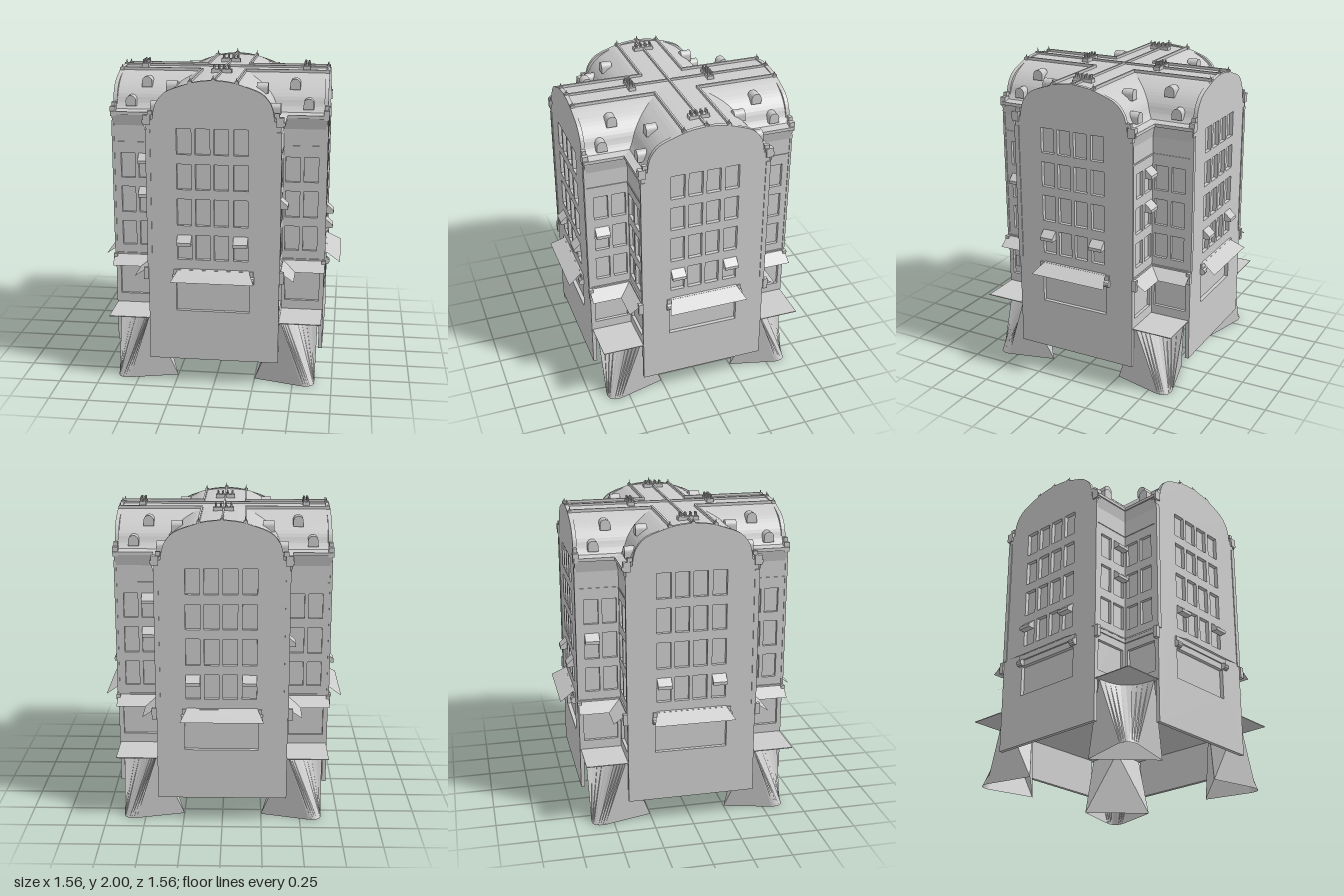
import * as THREE from 'three';

const grey = new THREE.MeshStandardMaterial({ color: 0xcccccc, flatShading: true });
const thin = new THREE.MeshStandardMaterial({ color: 0xcccccc, flatShading: true, side: THREE.DoubleSide });
const V2 = (x, y) => new THREE.Vector2(x, y);

function add(parent, name, geometry, material = grey) {
  const mesh = new THREE.Mesh(geometry, material);
  mesh.name = name;
  parent.add(mesh);
  return mesh;
}

// Box given by its minimum and maximum corners
function box(parent, name, x0, x1, y0, y1, z0, z1) {
  const mesh = add(parent, name, new THREE.BoxGeometry(x1 - x0, y1 - y0, z1 - z0));
  mesh.position.set((x0 + x1) / 2, (y0 + y1) / 2, (z0 + z1) / 2);
  return mesh;
}

// Thin surface made of quads or triangles, each a list of corners
function sheet(parent, name, faces) {
  const pos = [];
  for (const f of faces)
    for (let i = 1; i < f.length - 1; i++) pos.push(...f[0], ...f[i], ...f[i + 1]);
  const g = new THREE.BufferGeometry();
  g.setAttribute('position', new THREE.Float32BufferAttribute(pos, 3));
  g.computeVertexNormals();
  return add(parent, name, g, thin);
}

// Wall outline with rectangular openings [x0, x1, y0, y1]
function wall(points, openings, depth) {
  const shape = new THREE.Shape(points);
  for (const [a, b, c, d] of openings)
    shape.holes.push(new THREE.Path([V2(a, c), V2(a, d), V2(b, d), V2(b, c)]));
  return new THREE.ExtrudeGeometry(shape, { depth, bevelEnabled: false });
}

// Mirrors a half profile, listed from the eave up to the ridge
function symmetric(half) {
  const left = half.slice(0, -1).reverse().map((p) => V2(-p.x, p.y));
  return [...half, ...left];
}

// Small sloped hood over a window, facing the given angle
function canopy(parent, x, y, z, angle, width = 0.09) {
  const depth = 0.045;
  const shape = new THREE.Shape([V2(0, 0), V2(depth, 0), V2(depth, 0.02), V2(0, 0.06)]);
  const g = new THREE.ExtrudeGeometry(shape, { depth: width, bevelEnabled: false });
  g.translate(0, 0, -width / 2).rotateY(-Math.PI / 2);
  const mesh = add(parent, 'windowCanopy', g);
  mesh.position.set(x, y, z);
  mesh.rotation.y = angle;
}

// Round-topped dormer facing sideways out of the roof
function dormer(parent, s, x, y, z) {
  const shape = new THREE.Shape();
  shape.moveTo(-0.032, 0);
  shape.lineTo(0.032, 0);
  shape.lineTo(0.032, 0.035);
  shape.absarc(0, 0.035, 0.032, 0, Math.PI, false);
  const g = new THREE.ExtrudeGeometry(shape, { depth: 0.07, bevelEnabled: false, curveSegments: 8 });
  const mesh = add(parent, 'dormer', g);
  mesh.position.set(s * (x - 0.045), y, z);
  mesh.rotation.y = s * Math.PI / 2;
}

const curve = (pts) => new THREE.SplineCurve(pts).getPoints(18);
const roofHalf = [V2(0.425, 1.70), V2(0.425, 1.72),
  ...curve([V2(0.385, 1.73), V2(0.36, 1.765), V2(0.335, 1.82), V2(0.285, 1.875), V2(0.22, 1.915), V2(0.14, 1.945), V2(0, 1.955)])];
const gableHalf = [V2(0.41, 0.17), V2(0.41, 1.71), V2(0.37, 1.725),
  ...curve([V2(0.365, 1.77), V2(0.345, 1.83), V2(0.29, 1.89), V2(0.19, 1.93), V2(0.1, 1.955), V2(0, 1.965)])];

const rows = [[0.84, 1.0], [1.06, 1.23], [1.29, 1.45], [1.51, 1.67]];
const columns = [[-0.225, -0.135], [-0.11, -0.02], [0.005, 0.095], [0.125, 0.215]];

// One arm of the cross, pointing to +z
function createArm(chimneyZ, chimneyTurn) {
  const arm = new THREE.Group();
  arm.name = 'wing';
  box(arm, 'core', -0.39, 0.39, 0.44, 1.72, 0, 0.655);
  add(arm, 'roof', wall(symmetric(roofHalf), [], 0.67));

  // End facade with windows and a shop window
  const openings = rows.flatMap(([c, d]) => columns.map(([a, b]) => [a, b, c, d]));
  openings.push([-0.235, 0.225, 0.5, 0.7]);
  add(arm, 'endWall', wall(symmetric(gableHalf), openings, 0.025)).position.z = 0.655;
  sheet(arm, 'shopAwning', [[[-0.22, 0.78, 0.68], [-0.26, 0.72, 0.78], [0.26, 0.72, 0.78], [0.22, 0.78, 0.68]]]);
  box(arm, 'awningRail', -0.25, 0.25, 0.74, 0.775, 0.675, 0.69);
  for (const x of [-0.18, 0.17]) canopy(arm, x, 0.94, 0.68, 0);

  for (const s of [-1, 1]) {
    // Side wall with two columns of windows and a lower shop window
    const flip = (a, b, c, d) => (s > 0 ? [-b, -a, c, d] : [a, b, c, d]);
    const sideOpenings = rows.slice(0, 3).flatMap(([c, d]) => [flip(0.425, 0.515, c, d), flip(0.54, 0.63, c, d)]);
    sideOpenings.push(flip(0.43, 0.65, 0.5, 0.7));
    const [u0, u1] = flip(0.39, 0.68, 0, 0);
    const side = add(arm, 'sideWall',
      wall([V2(u0, 0.44), V2(u1, 0.44), V2(u1, 1.7), V2(u0, 1.7)], sideOpenings, 0.02));
    side.position.x = s * 0.39;
    side.rotation.y = s * Math.PI / 2;

    // Bands, soffit and cornice under the eave
    const band = (name, out, y0, y1, z1 = 0.675) =>
      box(arm, name, Math.min(s * 0.4, s * out), Math.max(s * 0.4, s * out), y0, y1, 0.4, z1);
    band('stringCourse', 0.415, 1.515, 1.525);
    band('signBand', 0.418, 0.75, 0.785);
    band('cornice', 0.435, 1.70, 1.72, 0.685);
    sheet(arm, 'soffit', [[[s * 0.41, 1.63, 0.4], [s * 0.43, 1.71, 0.4], [s * 0.43, 1.71, 0.68], [s * 0.41, 1.63, 0.68]]]);
    const post = (name, x, w, y0, y1, z0, z1) => box(arm, name, s * x - w / 2, s * x + w / 2, y0, y1, z0, z1);
    post('cornerStrip', 0.4, 0.03, 0.78, 1.66, 0.67, 0.685);
    post('eaveBlock', 0.405, 0.045, 1.69, 1.75, 0.655, 0.69);
    post('eaveScroll', 0.385, 0.03, 1.75, 1.775, 0.66, 0.685);

    // Mitred awning in the inner corner, and brackets
    sheet(arm, 'cornerAwning', [[[s * 0.41, 0.78, 0.41], [s * 0.5, 0.72, 0.5], [s * 0.5, 0.72, 0.685], [s * 0.41, 0.78, 0.685]]]);
    post('cornerBracket', 0.425, 0.03, 0.705, 0.78, 0.665, 0.69);
    const roller = add(arm, 'awningBracket', new THREE.CylinderGeometry(0.022, 0.022, 0.04, 10).rotateZ(Math.PI / 2));
    roller.position.set(s * 0.235, 0.722, 0.69);

    dormer(arm, s, 0.29, 1.86, 0.47);
    dormer(arm, s, 0.375, 1.75, 0.56);

    // Roof seam that turns into the neighbouring wing
    post('roofSeam', 0.14, 0.012, 1.94, 1.962, 0.134, 0.675);
  }
  box(arm, 'ridgeSeam', -0.006, 0.006, 1.95, 1.968, 0, 0.675);

  // Finials along the gable
  for (const [x, y] of [[-0.14, 1.945], [0, 1.96], [0.14, 1.945]]) {
    box(arm, 'finialBase', x - 0.012, x + 0.012, y - 0.01, y + 0.012, 0.652, 0.678);
    add(arm, 'finial', new THREE.ConeGeometry(0.007, 0.03, 6)).position.set(x, y + 0.024, 0.665);
  }

  // Chimney stack with two rows of pots
  const stack = new THREE.Group();
  stack.name = 'chimney';
  stack.position.z = chimneyZ;
  stack.rotation.y = chimneyTurn;
  box(stack, 'stack', -0.065, 0.065, 1.93, 1.975, -0.022, 0.022);
  for (const x of [-0.048, -0.016, 0.016, 0.048])
    for (const z of [-0.011, 0.011])
      add(stack, 'chimneyPot', new THREE.CylinderGeometry(0.006, 0.008, 0.025, 6)).position.set(x, 1.9875, z);
  arm.add(stack);
  return arm;
}

// Flared corner foot: outer skin, two wings and the inner skin
function createFoot() {
  const foot = new THREE.Group();
  foot.name = 'cornerFoot';
  const a = [0.42, 0.44, 0.65], b = [0.41, 0.44, 0.41], c = [0.65, 0.44, 0.42];
  const a0 = [0.56, 0, 0.64], b0 = [0.65, 0, 0.65], c0 = [0.64, 0, 0.56];
  const w = [0.25, 0, 0.56], v = [0.56, 0, 0.25];

  // Outer skin: hollow at the top, sweeping out to a pointed toe
  const n = 10, faces = [];
  const arc = (p, q, r, t) => p.map((_, i) => (1 - t) ** 2 * p[i] + 2 * t * (1 - t) * q[i] + t * t * r[i]);
  for (let i = 0; i < n; i++) {
    const t = i / n, u = (i + 1) / n;
    faces.push([arc(a, b, c, t), arc(a0, b0, c0, t), arc(a0, b0, c0, u), arc(a, b, c, u)]);
  }
  sheet(foot, 'outerSkin', faces);
  sheet(foot, 'sideFlaps', [[a, w, a0], [c, c0, v]]);
  sheet(foot, 'innerSkin', [[a, b, w], [b, c, v], [b, v, w]]);
  return foot;
}

export function createModel() {
  const model = new THREE.Group();
  model.name = 'crossShapedBuilding';

  for (let i = 0; i < 4; i++) {
    const sideways = i % 2 === 1;
    const arm = createArm(sideways ? 0.53 : 0.26, 0);
    const foot = createFoot();
    arm.rotation.y = foot.rotation.y = i * Math.PI / 2;
    model.add(arm, foot);
  }

  // Floor plate reaching out over the feet
  box(model, 'floorPlate', -0.675, 0.675, 0.435, 0.44, -0.675, 0.675);

  // Hoods over some of the inner corner windows
  for (const s of [-1, 1]) {
    const turn = s > 0 ? 0 : Math.PI;
    canopy(model, -s * 0.47, 1.39, s * 0.41, turn);
    canopy(model, -s * 0.47, 1.17, s * 0.41, turn);
    canopy(model, s * 0.41, 1.17, s * 0.585, s * Math.PI / 2);
  }
  return model;
}
